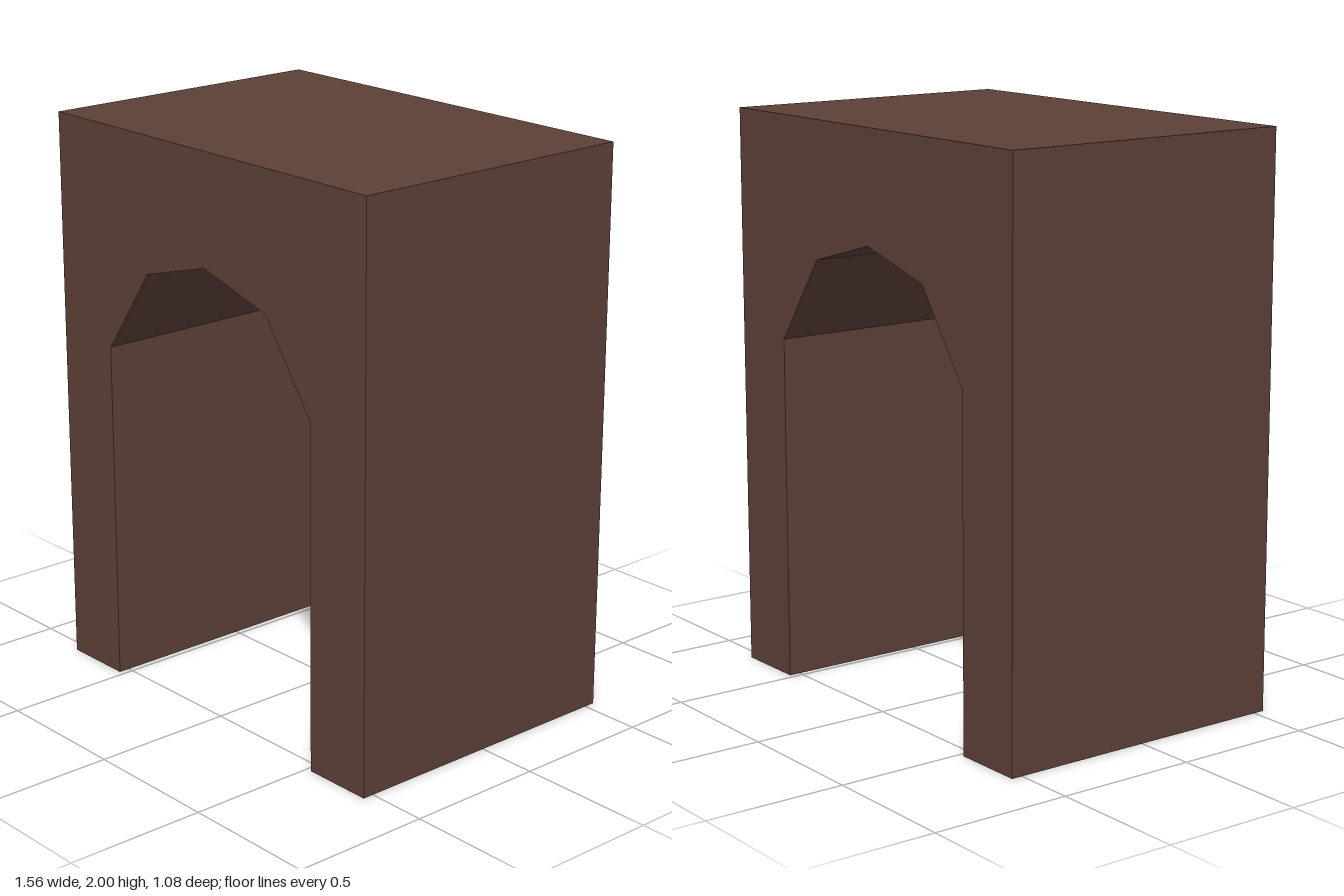
import * as THREE from 'three';

export function createModel() {
  const group = new THREE.Group();
  group.name = 'archway';

  const brown = new THREE.MeshStandardMaterial({ color: 0x5d4037 });
  brown.name = 'brown';

  const halfWidth = 0.78, height = 2, depth = 1.08;

  // Right half of the faceted opening, from the floor to just below the crown
  const opening = [[0.52, 0], [0.52, 1.22], [0.305, 1.525]];
  const mirrored = opening.map(([x, y]) => [-x, y]).reverse();

  // Outline: outer block, then back along the opening
  const outline = [
    [-halfWidth, 0], ...mirrored.reverse(), [0, 1.61],
    ...opening.slice().reverse(), [halfWidth, 0],
    [halfWidth, height], [-halfWidth, height],
  ].map(([x, y]) => new THREE.Vector2(x, y));

  const geometry = new THREE.ExtrudeGeometry(new THREE.Shape(outline), {
    depth, bevelEnabled: false,
  });
  geometry.translate(0, 0, -depth / 2);

  const arch = new THREE.Mesh(geometry, brown);
  arch.name = 'archBlock';
  group.add(arch);
  return group;
}
